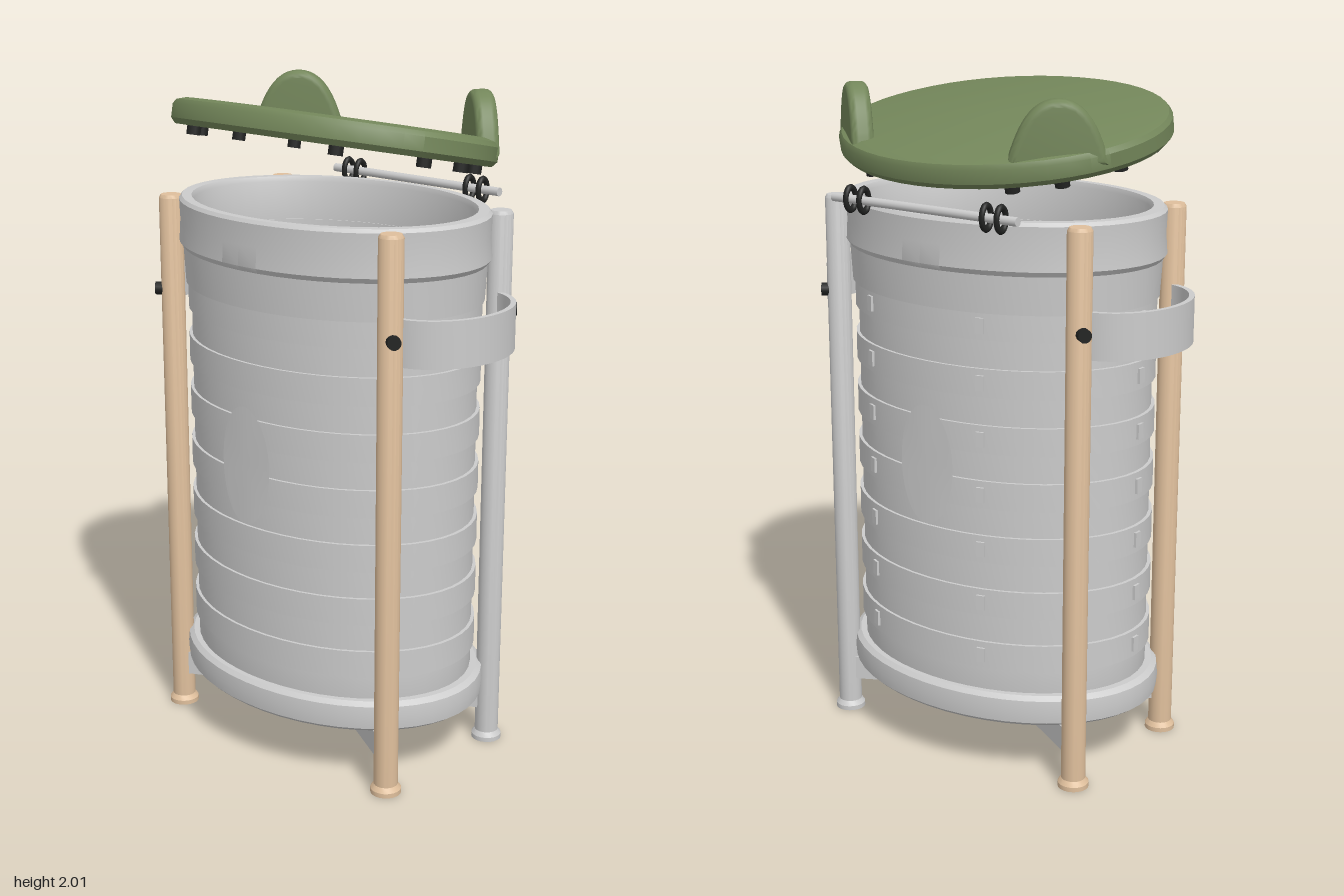
import * as THREE from 'three';
import { toCreasedNormals } from 'three/addons/utils/BufferGeometryUtils.js';

const OVAL = 0.745; // depth of the oval relative to its width
const mat = (color) => new THREE.MeshStandardMaterial({ color, side: THREE.DoubleSide });

export function createModel() {
  const model = new THREE.Group();
  const grey = mat(0xcccccc), wood = mat(0xdfbf9c), green = mat(0x73865a), black = mat(0x222322);

  const add = (name, geometry, material, x = 0, y = 0, z = 0, parent = model) => {
    const mesh = new THREE.Mesh(geometry, material);
    mesh.name = name;
    mesh.position.set(x, y, z);
    parent.add(mesh);
    return mesh;
  };
  // Revolved profile squashed into an oval, with crisp edges
  const oval = (points, depth = OVAL, sides = 48) => {
    const g = new THREE.LatheGeometry(points.map(([r, y]) => new THREE.Vector2(r, y)), sides);
    g.scale(1, 1, depth);
    return toCreasedNormals(g, 0.6);
  };

  // Hollow body with alternating raised slats
  const bands = 14, low = 0.26, high = 1.42, step = (high - low) / bands;
  const wall = [];
  for (let i = 0; i < bands; i++) {
    const r = i % 2 ? 0.49 : 0.479;
    wall.push([r, low + i * step], [r, low + (i + 1) * step]);
  }
  add('body', oval([[0, 0.22], [0.47, 0.22], ...wall, [0.47, 1.42], [0.46, 1.42], [0.46, 0.27], [0, 0.27]]), grey);
  add('neck', oval([[0.465, 1.415], [0.497, 1.415], [0.505, 1.54], [0.465, 1.54], [0.465, 1.415]]), grey);
  add('rim', oval([[0.47, 1.525], [0.505, 1.525], [0.517, 1.54], [0.512, 1.6], [0.515, 1.665],
    [0.505, 1.675], [0.472, 1.675], [0.465, 1.66], [0.47, 1.525]]), grey);
  add('base', oval([[0, 0.18], [0.5, 0.178], [0.517, 0.19], [0.521, 0.225], [0.517, 0.26],
    [0.5, 0.272], [0.47, 0.272]]), grey);

  // Small seam tabs in columns on the raised slats
  for (const a of [-1.94, -1.05, -Math.PI]) {
    for (let i = 1; i < bands; i += 2) {
      const tab = add('seamTab', new THREE.BoxGeometry(0.025, 0.045, 0.012), grey,
        0.491 * Math.cos(a), low + (i + 0.5) * step, 0.491 * OVAL * Math.sin(a));
      tab.rotation.y = Math.atan2(Math.cos(a) * OVAL, Math.sin(a));
    }
  }

  // Oval plaques, front and back, curved to the wall
  for (const turn of [0, Math.PI]) {
    const g = new THREE.CircleGeometry(1, 40);
    g.scale(0.095, 0.18, 1);
    const p = g.attributes.position;
    for (let i = 0; i < p.count; i++) p.setZ(i, OVAL * Math.sqrt(0.499 ** 2 - p.getX(i) ** 2));
    g.computeVertexNormals();
    add('plaque', g, grey, 0, 0.945, 0).rotation.y = turn;
  }

  // Four legs with flared feet, and the bolts through them
  const leg = oval([[0, 0], [0.046, 0], [0.046, 0.014], [0.036, 0.028], [0.036, 1.66], [0.03, 1.67], [0, 1.67]], 1, 20);
  for (const sx of [1, -1]) {
    for (const sz of [1, -1]) {
      add('leg', leg, sx > 0 && sz < 0 ? grey : wood, sx * 0.44, 0, sz * 0.238);
      const bolt = add('bolt', new THREE.CylinderGeometry(0.02, 0.02, 0.04, 12), black, sx * 0.467, 1.38, sz * 0.258);
      bolt.quaternion.setFromUnitVectors(new THREE.Vector3(0, 1, 0), new THREE.Vector3(sx, 0, sz * 0.75).normalize());
    }
  }

  // Crossed braces below the base
  for (const s of [1, -1]) {
    add('crossBrace', new THREE.BoxGeometry(0.98, 0.075, 0.05), grey, 0, 0.143, 0).rotation.y = s * Math.atan2(0.238, 0.44);
  }

  // Curved strap handles at both sides
  const strap = new THREE.Shape();
  strap.absellipse(0, 0, 0.186, 0.226, -Math.PI / 2, Math.PI / 2, false);
  strap.absellipse(0, 0, 0.17, 0.21, Math.PI / 2, -Math.PI / 2, true);
  const strapGeometry = toCreasedNormals(
    new THREE.ExtrudeGeometry(strap, { depth: 0.135, bevelEnabled: false, curveSegments: 24 }).rotateX(-Math.PI / 2), 0.6);
  for (const s of [1, -1]) {
    add('handle', strapGeometry, grey, s * 0.431, 1.3, 0).rotation.y = s > 0 ? 0 : Math.PI;
  }

  // Hinge rod and its rings at the back
  add('hingeRod', new THREE.CylinderGeometry(0.013, 0.013, 0.66, 12).rotateZ(Math.PI / 2), grey, 0, 1.69, -0.37);
  for (const x of [-0.27, -0.22, 0.22, 0.27]) {
    const ring = add('hingeRing', new THREE.TorusGeometry(0.028, 0.009, 8, 20), black, x, 1.69, -0.365);
    ring.rotation.y = Math.PI / 2;
    ring.scale.set(0.75, 1.15, 1);
  }

  // Raised lid, tilted up at the front
  const lid = new THREE.Group();
  lid.name = 'lid';
  lid.position.set(0, 1.872, 0);
  lid.rotation.x = -0.2;
  model.add(lid);
  add('lidPanel', oval([[0, -0.032], [0.47, -0.032], [0.505, -0.036], [0.52, -0.02], [0.52, 0.02],
    [0.51, 0.034], [0.48, 0.042], [0, 0.045]], 0.8), green, 0, 0, 0, lid);
  for (const [x, z] of [[0.28, 0.28], [0.44, 0.1], [0.44, -0.06], [0.36, -0.225], [0.25, -0.305]]) {
    for (const s of [1, -1]) {
      add('lidPeg', new THREE.CylinderGeometry(0.021, 0.021, 0.035, 12), black, s * x, -0.044, z, lid);
    }
  }

  // Rounded ears near the back of the lid
  const ear = new THREE.Shape();
  ear.moveTo(-0.115, 0);
  ear.bezierCurveTo(-0.1, 0.04, -0.075, 0.14, 0, 0.14);
  ear.bezierCurveTo(0.075, 0.14, 0.1, 0.04, 0.115, 0);
  const earGeometry = toCreasedNormals(new THREE.ExtrudeGeometry(ear, {
    depth: 0.026, bevelThickness: 0.02, bevelSize: 0.02, bevelSegments: 4, curveSegments: 14,
  }).translate(0, 0, -0.013), 0.8);
  for (const s of [1, -1]) {
    add('ear', earGeometry, green, s * 0.36, 1.845, -0.232).rotation.y = -s * 0.7;
  }
  return model;
}
